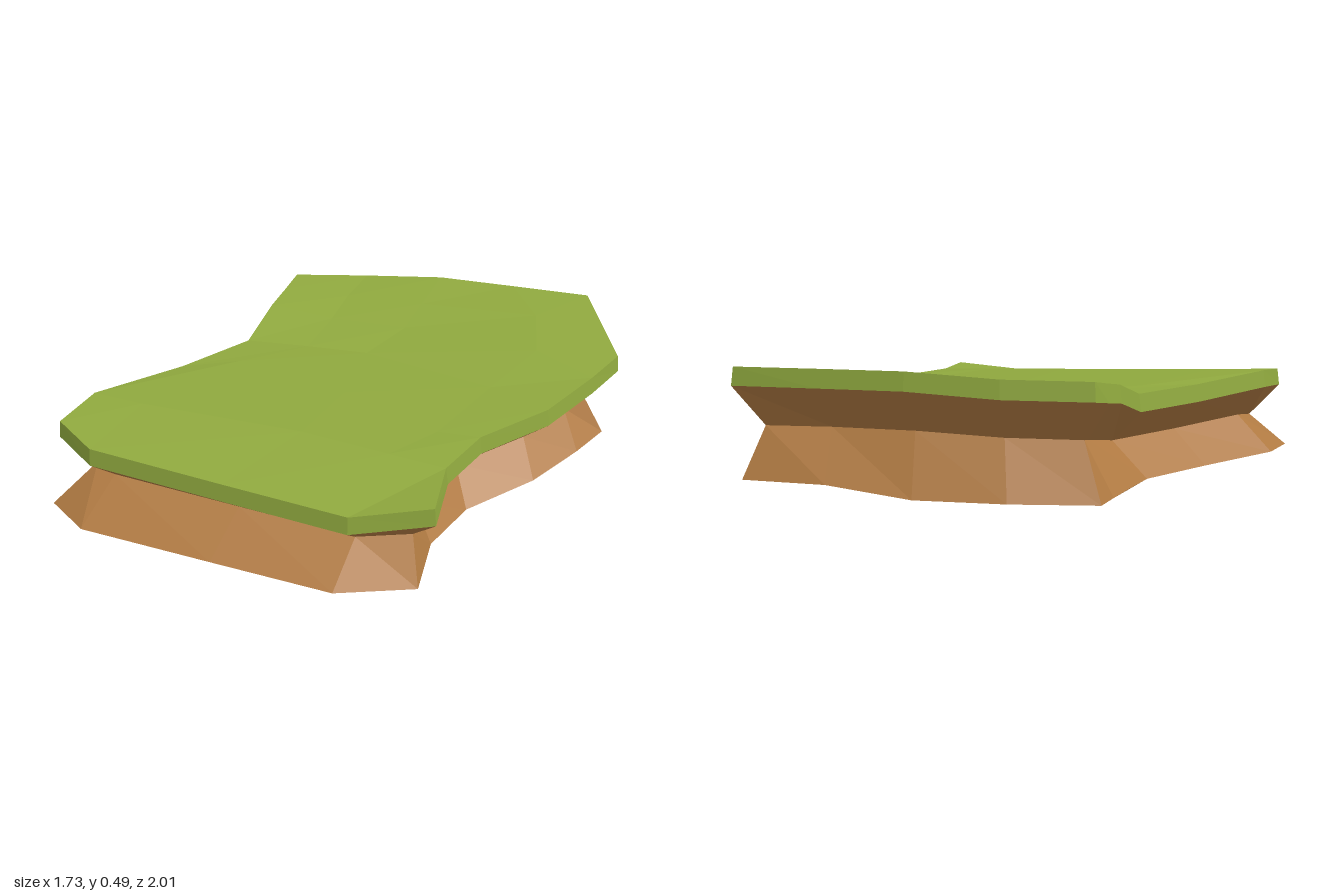
import * as THREE from 'three';

// Top surface: rows run back to front, each with five x, y, z points from right (-x) to left (+x)
const ROWS = [
  [-0.66, 0.46, -0.55, -0.37, 0.465, -0.7, -0.05, 0.485, -0.82, 0.27, 0.483, -0.91, 0.59, 0.48, -1],
  [-0.645, 0.44, -0.43, -0.37, 0.435, -0.53, -0.04, 0.44, -0.62, 0.45, 0.45, -0.76, 0.86, 0.41, -0.67],
  [-0.63, 0.42, -0.3, -0.35, 0.4, -0.36, -0.03, 0.4, -0.45, 0.55, 0.41, -0.54, 0.82, 0.385, -0.49],
  [-0.6, 0.355, -0.07, -0.35, 0.355, -0.16, -0.1, 0.355, -0.24, 0.47, 0.345, -0.27, 0.74, 0.345, -0.23],
  [-0.7, 0.36, 0.26, -0.52, 0.36, 0.1, -0.02, 0.35, 0.08, 0.43, 0.335, 0.12, 0.59, 0.335, 0.07],
  [-0.84, 0.385, 0.64, -0.63, 0.38, 0.6, 0, 0.36, 0.42, 0.35, 0.345, 0.36, 0.57, 0.335, 0.32],
  [-0.83, 0.37, 0.85, -0.63, 0.345, 0.91, -0.09, 0.32, 0.81, 0.39, 0.3, 0.72, 0.65, 0.335, 0.56],
];
const COLS = 5;
const grid = ROWS.map((r) =>
  Array.from({ length: COLS }, (_, j) => new THREE.Vector3(r[3 * j], r[3 * j + 1], r[3 * j + 2])));

// Rim of the grid: back edge, left side, front edge, right side
function rimOf(g) {
  const last = g.length - 1;
  return [
    ...g[0],
    ...g.slice(1, last).map((r) => r[COLS - 1]),
    ...[...g[last]].reverse(),
    ...g.slice(1, last).map((r) => r[0]).reverse(),
  ];
}

// Move a loop outwards in plan (negative = inwards) and give it new heights
function offsetLoop(loop, amount, height) {
  const n = loop.length;
  return loop.map((p, i) => {
    const t = loop[(i + 1) % n].clone().sub(loop[(i + n - 1) % n]).setY(0).normalize();
    return new THREE.Vector3(p.x + t.z * amount, height(p), p.z - t.x * amount);
  });
}

// Band of faces between two loops
function wall(tris, upper, lower) {
  upper.forEach((p, i) => {
    const k = (i + 1) % upper.length;
    tris.push(lower[i], p, upper[k], lower[i], upper[k], lower[k]);
  });
}

function makeMesh(name, tris, color) {
  const geometry = new THREE.BufferGeometry().setFromPoints(tris);
  geometry.computeVertexNormals();
  const mesh = new THREE.Mesh(geometry, new THREE.MeshStandardMaterial({ color, flatShading: true }));
  mesh.name = name;
  return mesh;
}

export function createModel() {
  const group = new THREE.Group();
  group.name = 'grassyLedge';

  const rim = rimOf(grid);
  const grassEdge = offsetLoop(rim, 0.01, (p) => p.y - 0.07);
  const waist = offsetLoop(rim, -0.12, (p) => p.y * 0.72 - 0.095);
  const foot = rim.map((p) => {
    const y = Math.max(0, 0.33 * (p.y - 0.3));
    return new THREE.Vector3(p.x - 0.02, p.x < 0 ? Math.min(y, 0.025) : y, p.z * 1.045 + 0.045);
  });
  // keep the back edge of the foot in line with the turf
  foot.forEach((p, i) => { p.z = Math.max(p.z, rim[i].z + 0.005); });

  // Grass: faceted top sheet and a thin rim
  const grass = [];
  for (let i = 0; i < grid.length - 1; i++) {
    for (let j = 0; j < COLS - 1; j++) {
      const a = grid[i][j], b = grid[i][j + 1], c = grid[i + 1][j], d = grid[i + 1][j + 1];
      grass.push(a, c, b, b, c, d);
    }
  }
  wall(grass, rim, grassEdge);
  group.add(makeMesh('grassTop', grass, 0x8fa83e));

  // Earth: pinched at the waist, flared at the foot, closed below
  const earth = [];
  wall(earth, grassEdge, waist);
  wall(earth, waist, foot);
  const outline = foot.map((p) => new THREE.Vector2(p.x, p.z));
  for (const [a, b, c] of THREE.ShapeUtils.triangulateShape(outline, [])) {
    const up = foot[b].clone().sub(foot[a]).cross(foot[c].clone().sub(foot[a])).y > 0;
    earth.push(foot[a], foot[up ? c : b], foot[up ? b : c]);
  }
  group.add(makeMesh('earthBase', earth, 0xb07a42));

  return group;
}
